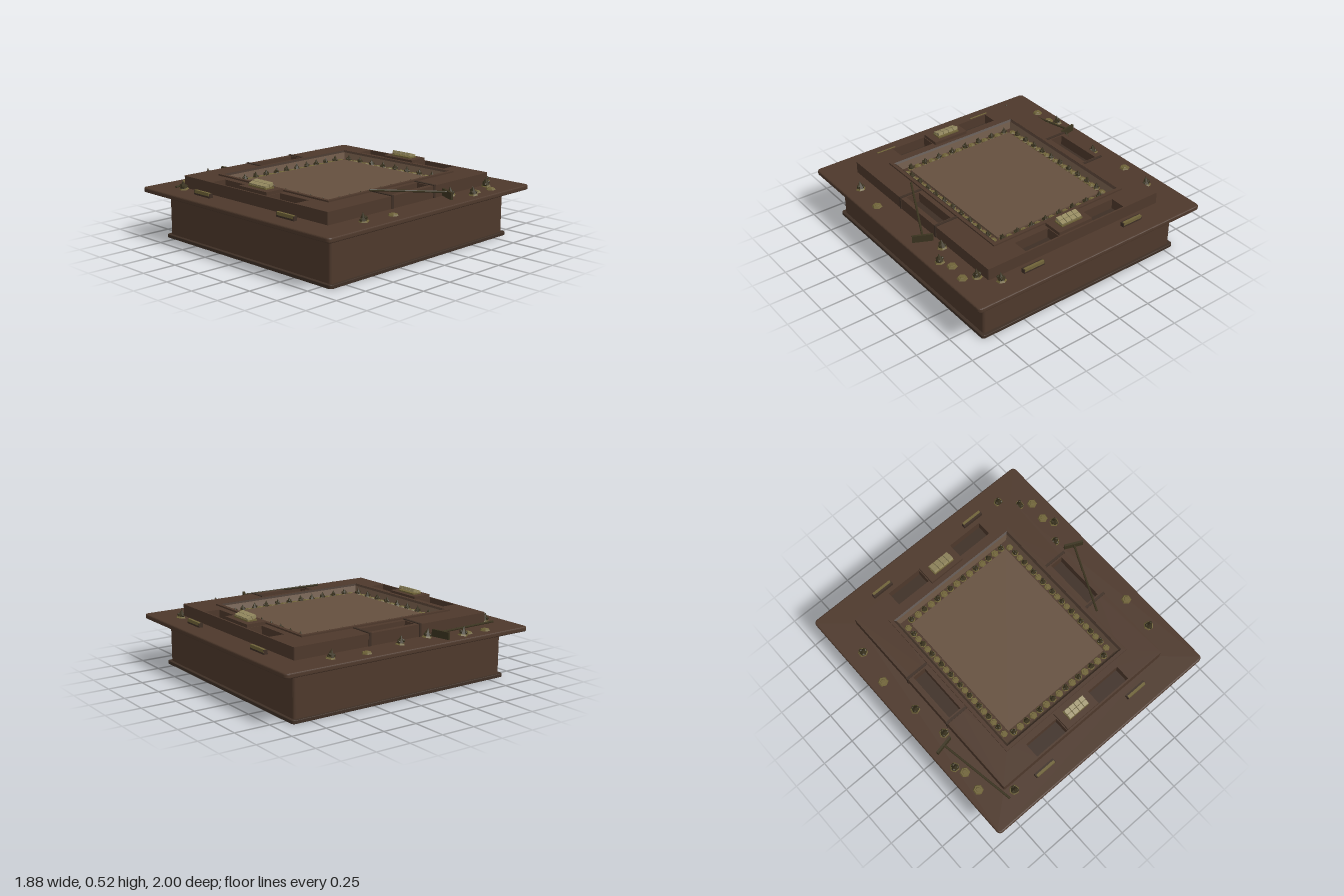
import * as THREE from 'three';

const mat = (color) => new THREE.MeshStandardMaterial({ color, flatShading: true });
const WOOD = mat(0x4d382b), DARK = mat(0x3e2f25), FELT = mat(0x65503f);
const GOLD = mat(0x6f6338), OLIVE = mat(0x3a331f), STONE = mat(0x94895f);

function mesh(parent, name, geo, material, x = 0, y = 0, z = 0) {
  const m = new THREE.Mesh(geo, material);
  m.name = name;
  m.position.set(x, y, z);
  parent.add(m);
  return m;
}

// Box given by its lower and upper limits
function slab(parent, name, material, x0, x1, y0, y1, z0, z1) {
  return mesh(parent, name, new THREE.BoxGeometry(x1 - x0, y1 - y0, z1 - z0), material,
    (x0 + x1) / 2, (y0 + y1) / 2, (z0 + z1) / 2);
}

// Rounded rectangle outline, centred on (cx, cy)
function outline(Type, hw, hd, r = 0, cx = 0, cy = 0) {
  const s = new Type();
  if (!r) {
    return s.moveTo(cx - hw, cy - hd).lineTo(cx + hw, cy - hd)
      .lineTo(cx + hw, cy + hd).lineTo(cx - hw, cy + hd).closePath();
  }
  s.absarc(cx + hw - r, cy + hd - r, r, 0, Math.PI / 2);
  s.absarc(cx - hw + r, cy + hd - r, r, Math.PI / 2, Math.PI);
  s.absarc(cx - hw + r, cy - hd + r, r, Math.PI, Math.PI * 1.5);
  s.absarc(cx + hw - r, cy - hd + r, r, Math.PI * 1.5, Math.PI * 2);
  return s.closePath();
}

// Horizontal plate with holes, from y0 to y1
function plate(parent, name, material, y0, y1, hw, hd, r, holes, bevel = 0) {
  const s = outline(THREE.Shape, hw - bevel, hd - bevel, r);
  s.holes = holes.map((h) => outline(THREE.Path, ...h));
  const geo = new THREE.ExtrudeGeometry(s, {
    depth: y1 - y0 - 2 * bevel, curveSegments: 4, bevelEnabled: bevel > 0,
    bevelSize: bevel, bevelThickness: bevel, bevelSegments: 3,
  }).rotateX(-Math.PI / 2);
  return mesh(parent, name, geo, material, 0, y0 + bevel, 0);
}

// Open tray: thin walls around a sunken floor
function tray(parent, cx, cz, hw, hd, y0, y1) {
  const g = new THREE.Group();
  g.name = 'tray';
  g.position.set(cx, 0, cz);
  parent.add(g);
  plate(g, 'trayWalls', WOOD, y0, y1, hw + 0.008, hd + 0.008, 0, [[hw, hd]]);
  slab(g, 'trayFloor', DARK, -hw, hw, y0, y0 + 0.012, -hd, hd);
}

// Sloping band between two rectangles, facing up and inward
function slopedBand(hw0, hd0, y0, hw1, hd1, y1) {
  const pos = [], idx = [];
  const signs = [[1, 1], [1, -1], [-1, -1], [-1, 1]];
  for (const [sx, sz] of signs) pos.push(sx * hw0, y0, sz * hd0, sx * hw1, y1, sz * hd1);
  for (let i = 0; i < 4; i++) {
    const a = i * 2, b = ((i + 1) % 4) * 2;
    idx.push(a, b, a + 1, b, b + 1, a + 1);
  }
  const g = new THREE.BufferGeometry();
  g.setAttribute('position', new THREE.Float32BufferAttribute(pos, 3));
  g.setIndex(idx);
  const flat = g.toNonIndexed();
  flat.computeVertexNormals();
  return flat;
}

// Playing piece: faceted gold base, some with a rough little body
const baseGeo = new THREE.CylinderGeometry(0.8, 1, 0.3, 6);
const capGeo = new THREE.CylinderGeometry(0.4, 0.5, 0.1, 6);
const bodyGeo = new THREE.ConeGeometry(0.8, 1.6, 6);
const lumpGeo = new THREE.IcosahedronGeometry(0.36, 0);
function piece(parent, x, y, z, r, turn, standing, lean = 0) {
  const g = new THREE.Group();
  g.name = standing ? 'standingPiece' : 'gamePiece';
  g.position.set(x, y, z);
  g.rotation.set(lean, turn, 0);
  g.scale.setScalar(r);
  parent.add(g);
  mesh(g, 'pieceBase', baseGeo, GOLD, 0, 0.15, 0);
  if (standing) {
    mesh(g, 'pieceBody', bodyGeo, OLIVE, 0, 1, 0);
    for (let i = 0; i < 3; i++) {
      const a = i * 2.1;
      mesh(g, 'pieceLump', lumpGeo, OLIVE, Math.cos(a) * 0.5, 0.5 + 0.15 * i, Math.sin(a) * 0.5);
    }
  } else {
    mesh(g, 'pieceCap', capGeo, GOLD, 0, 0.35, 0);
  }
}

// Stick with an upright blade across its end
function rake(parent, grip, head, turn) {
  const g = new THREE.Group();
  g.name = 'rake';
  parent.add(g);
  const p = new THREE.Vector3(...grip), q = new THREE.Vector3(...head);
  const handle = mesh(g, 'rakeHandle', new THREE.CylinderGeometry(0.008, 0.008, p.distanceTo(q), 8), OLIVE);
  handle.position.copy(p).add(q).multiplyScalar(0.5);
  handle.quaternion.setFromUnitVectors(new THREE.Vector3(0, 1, 0), q.clone().sub(p).normalize());
  const blade = mesh(g, 'rakeBlade', new THREE.BoxGeometry(0.14, 0.05, 0.016), OLIVE, q.x, q.y - 0.015, q.z);
  blade.rotation.y = turn;
}

export function createModel() {
  const root = new THREE.Group();
  root.name = 'gameTable';

  // Hollow base, foot trim and overhanging top
  plate(root, 'baseSkirt', WOOD, 0.01, 0.34, 0.812, 0.862, 0.02, [[0.79, 0.84]]);
  plate(root, 'footTrim', DARK, 0, 0.025, 0.834, 0.884, 0.02, [[0.79, 0.84]], 0.004);
  plate(root, 'tableTop', WOOD, 0.335, 0.37, 0.94, 1, 0.02, [[0.71, 0.785]], 0.01);

  // Raised frame with openings for the trays and the pit
  const holes = [[0.512, 0.59]];
  for (const sx of [-1, 1]) {
    holes.push([0.05, 0.19, 0, sx * 0.635, 0]);
    for (const sz of [-1, 1]) holes.push([0.136, 0.056, 0, sx * 0.282, sz * 0.729]);
  }
  plate(root, 'raisedFrameTop', WOOD, 0.44, 0.455, 0.722, 0.797, 0.01, holes);
  plate(root, 'raisedFrameWalls', WOOD, 0.365, 0.441, 0.722, 0.797, 0.01, [[0.70, 0.785]]);

  for (const s of [-1, 1]) {
    tray(root, s * 0.635, 0, 0.05, 0.19, 0.37, 0.452);
    for (const sz of [-1, 1]) {
      tray(root, s * 0.282, sz * 0.729, 0.136, 0.056, 0.37, 0.452);
      slab(root, 'trayDivider', DARK, s * 0.637 - 0.09, s * 0.637 + 0.09, 0.37, 0.461,
        sz * 0.21 - 0.009, sz * 0.21 + 0.009);
      // Bars lying on the table top
      mesh(root, 'handleBar', new THREE.BoxGeometry(0.165, 0.03, 0.03), DARK, s * 0.42, 0.385, sz * 0.866);
      mesh(root, 'handlePlate', new THREE.BoxGeometry(0.155, 0.022, 0.018), GOLD, s * 0.42, 0.394, sz * 0.874);
    }

    // Central stand with two stepped rows of tiles
    const stand = new THREE.Group();
    stand.name = 'tileStand';
    root.add(stand);
    slab(stand, 'standBlock', WOOD, -0.14, 0.14, 0.36, 0.478, s * 0.712 - 0.072, s * 0.712 + 0.072);
    mesh(stand, 'standRack', new THREE.BoxGeometry(0.175, 0.012, 0.075), GOLD, 0, 0.482, s * 0.709);
    for (let i = 0; i < 4; i++) {
      for (const [y, z] of [[0.504, 0.692], [0.494, 0.726]]) {
        const t = mesh(stand, 'tile', new THREE.BoxGeometry(0.038, 0.022, 0.032),
          STONE, -0.0645 + i * 0.043, y, s * z);
        t.rotation.x = s * 0.3;
      }
    }
  }

  // Pit: rim, sloping sides, channel and central board
  plate(root, 'pitRim', WOOD, 0.45, 0.466, 0.55, 0.625, 0, [[0.525, 0.6]]);
  mesh(root, 'pitLip', slopedBand(0.525, 0.6, 0.465, 0.51, 0.588, 0.454), DARK);
  mesh(root, 'pitSides', slopedBand(0.512, 0.59, 0.454, 0.492, 0.57, 0.405), FELT);
  slab(root, 'pitFloor', WOOD, -0.512, 0.512, 0.395, 0.407, -0.59, 0.59);
  slab(root, 'playingBoard', FELT, -0.44, 0.44, 0.4, 0.418, -0.515, 0.515);

  // Pieces standing around the channel
  for (const s of [-1, 1]) {
    for (let i = 0; i < 8; i++) {
      const x = -0.415 + i * 0.119;
      piece(root, x, 0.406, s * 0.543, 0.028, i * 1.3, true);
      if (i < 7) piece(root, x + 0.06, 0.406, s * 0.543, 0.03, Math.PI / 6, false);
    }
    for (let i = 0; i < 10; i++) {
      const z = -0.45 + i * 0.1;
      piece(root, s * 0.472, 0.406, z, 0.027, i * 1.7, true);
      if (i < 9) piece(root, s * 0.472, 0.406, z + 0.05, 0.027, 0, false);
    }
    for (const sz of [-1, 1]) piece(root, s * 0.472, 0.406, sz * 0.51, 0.027, 0, false);
  }

  // Pieces scattered over the table top
  const standing = [[-0.82, -0.59], [-0.81, -0.03], [-0.77, 0.23], [-0.87, 0.46], [-0.67, 0.84],
    [0.66, -0.85], [0.76, -0.73], [0.86, -0.46], [0.76, -0.34], [0.82, 0.58]];
  standing.forEach(([x, z], i) => piece(root, x, 0.372, z, 0.036, i * 1.9, true, 0.15));
  const lying = [[-0.85, -0.33], [-0.84, 0.53], [-0.85, 0.68], [0.84, -0.68], [0.82, -0.54], [0.84, 0.33]];
  lying.forEach(([x, z], i) => piece(root, x, 0.37, z, 0.037, i, false));

  // Two rakes, one leaning on the frame
  rake(root, [0.585, 0.485, 0.285], [0.83, 0.428, -0.22], -0.45);
  rake(root, [-0.73, 0.382, 0.865], [-0.83, 0.41, 0.3], 0.2);

  return root;
}
